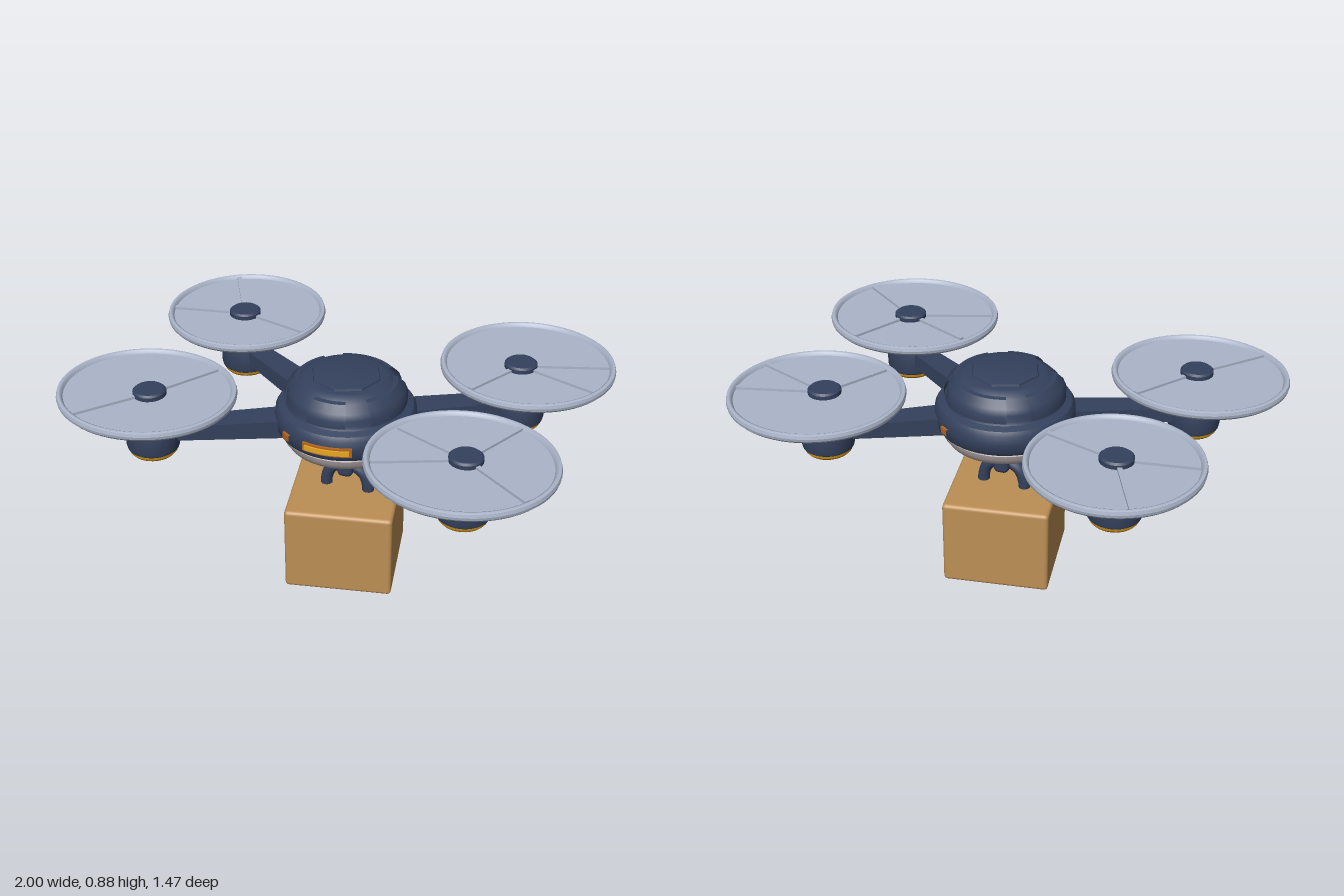
import * as THREE from 'three';
import { toCreasedNormals } from 'three/addons/utils/BufferGeometryUtils.js';
import { RoundedBoxGeometry } from 'three/addons/geometries/RoundedBoxGeometry.js';

const paint = (name, color) => {
  const m = new THREE.MeshStandardMaterial({ color });
  m.name = name;
  return m;
};

export function createModel() {
  const navy = paint('navy', 0x34415d);
  const rotorGrey = paint('rotor grey', 0xabb5c9);
  const bellyGrey = paint('belly grey', 0xb3a8a8);
  const gold = paint('gold', 0xb98218);
  const amber = paint('amber', 0xe8a824);
  const orange = paint('orange', 0xb5661f);
  const cardboard = paint('cardboard', 0xbd8f55);

  const model = new THREE.Group();
  model.name = 'deliveryDrone';

  const add = (parent, name, geometry, material, x = 0, y = 0, z = 0) => {
    const mesh = new THREE.Mesh(geometry, material);
    mesh.name = name;
    mesh.position.set(x, y, z);
    parent.add(mesh);
    return mesh;
  };
  // Turned part: [radius, height] pairs listed from the bottom up
  const lathe = (points, segments = 48, start = 0, sweep = Math.PI * 2) =>
    toCreasedNormals(new THREE.LatheGeometry(
      points.map(([r, y]) => new THREE.Vector2(r, y)), segments, start, sweep), 0.6);

  // Body
  const cx = 0.035, cz = 0.01;
  const body = new THREE.Group();
  body.name = 'body';
  body.position.set(cx, 0, cz);
  model.add(body);

  add(body, 'shell', lathe([
    [0, 0.6], [0.17, 0.6], [0.24, 0.64], [0.262, 0.648], [0.273, 0.665], [0.277, 0.7], [0.273, 0.735],
    [0.262, 0.752], [0.235, 0.762], [0.228, 0.775], [0.228, 0.8], [0.218, 0.822],
    [0.19, 0.85], [0.165, 0.868], [0.15, 0.872], [0, 0.874],
  ]), navy);
  add(body, 'topCap', lathe([[0.14, 0.865], [0.135, 0.88], [0.12, 0.884], [0, 0.884]], 8), navy);
  add(body, 'bellyRing', lathe([
    [0.165, 0.6], [0.17, 0.578], [0.2, 0.576], [0.228, 0.59], [0.245, 0.615], [0.25, 0.635], [0.24, 0.652],
  ]), bellyGrey);
  add(body, 'bellyPlate', lathe([[0, 0.58], [0.172, 0.582], [0.172, 0.61]]), navy);

  // Raised armour panels around the dome
  for (const [start, sweep] of [[-0.33, 0.66], [0.75, 1.25], [2.35, 1.2], [3.95, 1.25]]) {
    add(body, 'domePanel', lathe([
      [0.22, 0.768], [0.237, 0.772], [0.237, 0.803], [0.226, 0.828], [0.198, 0.855], [0.18, 0.858], [0.17, 0.85],
    ], 14, start, sweep), navy).material.side = THREE.DoubleSide;
  }

  // Curved lights on the belt
  const beltLight = (name, angle, half, low, high, out, material) =>
    add(body, name, lathe([
      [0.26, low], [0.277 + out, low + 0.002], [0.277 + out, high - 0.002], [0.26, high],
    ], 12, angle - half, half * 2), material);
  beltLight('frontLightFrame', 0.07, 0.35, 0.675, 0.715, 0.006, orange);
  beltLight('frontLight', 0.07, 0.31, 0.683, 0.707, 0.012, amber);
  beltLight('sideMarker', -0.6, 0.07, 0.68, 0.71, 0.008, orange);
  beltLight('rearMarker', 2.55, 0.07, 0.68, 0.71, 0.008, orange);

  // Rotors: hub, disc centre and radii, and where each spoke ends
  const rotors = [
    { hub: [-0.553, -0.39], disc: [-0.553, -0.41], r: [0.326, 0.33],
      spokes: [[-0.703, -0.68], [-0.255, -0.31], [-0.845, -0.335]] },
    { hub: [0.633, -0.342], disc: [0.655, -0.365], r: [0.342, 0.337],
      spokes: [[0.96, -0.44], [0.945, -0.235], [0.495, -0.1]] },
    { hub: [-0.638, 0.337], disc: [-0.653, 0.33], r: [0.347, 0.32],
      spokes: [[-0.468, 0.09], [-0.842, 0.572]] },
    { hub: [0.612, 0.375], disc: [0.602, 0.393], r: [0.352, 0.335],
      spokes: [[0.745, 0.11], [0.325, 0.255], [0.3, 0.5], [0.875, 0.56]] },
  ];
  const discGeometry = lathe([
    [0, 0.815], [0.9, 0.81], [0.965, 0.812], [0.993, 0.822], [1, 0.833], [0.99, 0.846],
    [0.965, 0.85], [0.94, 0.846], [0.925, 0.834], [0, 0.834],
  ], 64);
  const podGeometry = lathe([
    [0, 0.6], [0.09, 0.6], [0.1, 0.608], [0.104, 0.625], [0.104, 0.705], [0.097, 0.724], [0.08, 0.733],
    [0.062, 0.735], [0.058, 0.765], [0.078, 0.775], [0.082, 0.795], [0.07, 0.805], [0.05, 0.82], [0, 0.82],
  ], 32);
  const ringGeometry = lathe([
    [0.065, 0.597], [0.068, 0.584], [0.084, 0.583], [0.092, 0.592], [0.092, 0.606], [0.08, 0.61],
  ], 32);
  const capGeometry = lathe([[0, 0.826], [0.064, 0.826], [0.064, 0.85], [0.056, 0.857], [0, 0.858]], 24);

  // Bar between two ground points, tapering in width and height towards the end
  const bar = (parent, name, from, to, y, width, height, taper, material) => {
    const dx = to[0] - from[0], dz = to[1] - from[1];
    const geometry = new THREE.BoxGeometry(Math.hypot(dx, dz), height, width);
    const p = geometry.attributes.position;
    for (let i = 0; i < p.count; i++) {
      if (p.getX(i) > 0) p.setXYZ(i, p.getX(i), p.getY(i) * taper, p.getZ(i) * taper);
    }
    geometry.computeVertexNormals();
    const mesh = add(parent, name, geometry, material, (from[0] + to[0]) / 2, y, (from[1] + to[1]) / 2);
    mesh.rotation.y = -Math.atan2(dz, dx);
  };

  for (const { hub, disc, r, spokes } of rotors) {
    const rotor = new THREE.Group();
    rotor.name = 'rotorUnit';
    model.add(rotor);
    bar(rotor, 'arm', [cx, cz], hub, 0.675, 0.13, 0.085, 0.65, navy);
    add(rotor, 'motorPod', podGeometry, navy, hub[0], 0, hub[1]);
    add(rotor, 'podRing', ringGeometry, gold, hub[0], 0, hub[1]);
    const lens = add(rotor, 'podLens', new THREE.CircleGeometry(0.07, 24), bellyGrey, hub[0], 0.592, hub[1]);
    lens.rotation.x = Math.PI / 2;
    add(rotor, 'rotorDisc', discGeometry, rotorGrey, disc[0], 0, disc[1]).scale.set(r[0], 1, r[1]);
    add(rotor, 'hubCap', capGeometry, navy, hub[0], 0, hub[1]);
    for (const end of spokes) bar(rotor, 'spoke', hub, end, 0.838, 0.018, 0.012, 1, rotorGrey);
  }

  // Cargo hook
  const hook = new THREE.Group();
  hook.name = 'cargoHook';
  hook.position.set(0.041, 0, 0.01);
  model.add(hook);
  add(hook, 'hookMount', lathe([
    [0, 0.5], [0.04, 0.5], [0.05, 0.52], [0.066, 0.53], [0.068, 0.56], [0.085, 0.585],
  ], 24), navy);
  add(hook, 'hookClaw', new RoundedBoxGeometry(0.064, 0.1, 0.1, 3, 0.022), navy, 0, 0.478, 0);

  // Carrying handle
  const arch = new THREE.CatmullRomCurve3([
    [-0.088, 0.34], [-0.086, 0.39], [-0.068, 0.435], [-0.03, 0.461], [0, 0.465],
    [0.03, 0.461], [0.068, 0.435], [0.086, 0.39], [0.088, 0.34],
  ].map(([x, y]) => new THREE.Vector3(x, y, 0)));
  add(hook, 'parcelHandle', new THREE.TubeGeometry(arch, 40, 0.024, 12), navy);

  // Parcel, turned slightly
  add(model, 'parcel', new RoundedBoxGeometry(0.428, 0.362, 0.44, 3, 0.016), cardboard, 0.037, 0.181, 0.015)
    .rotation.y = 0.19;

  return model;
}
